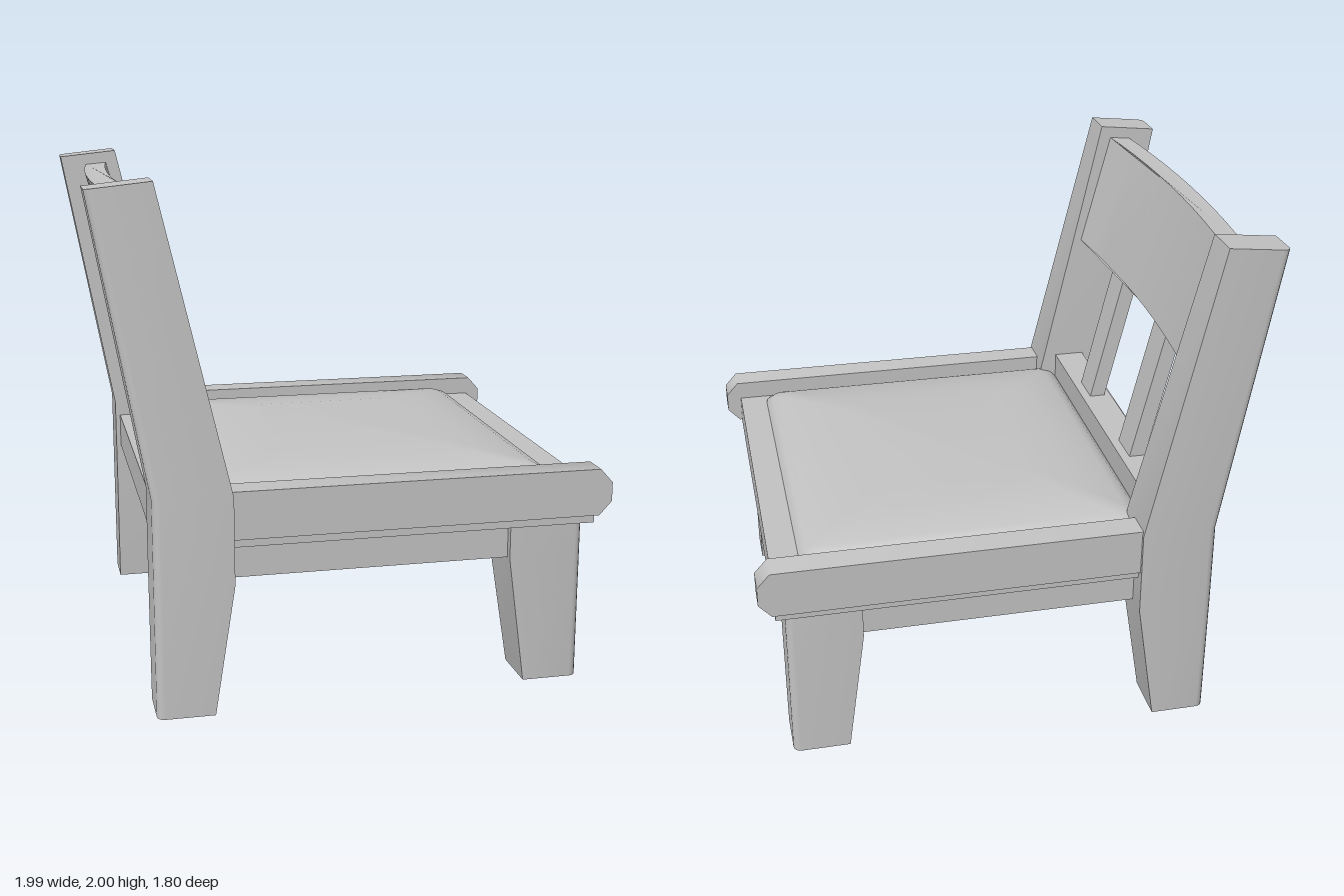
import * as THREE from 'three';
import { toCreasedNormals } from 'three/addons/utils/BufferGeometryUtils.js';

// Closed solid through rings (counter-clockwise from above); side -1 mirrors it in z
function loft(rings, side = 1) {
  const rows = side > 0 ? rings : rings.map(r => r.map(([x, y, z]) => [x, y, -z]).reverse());
  const n = rows[0].length, index = [];
  for (let i = 0; i < rows.length - 1; i++) {
    for (let j = 0; j < n; j++) {
      const a = i * n + j, b = i * n + (j + 1) % n;
      index.push(a, b, b + n, a, b + n, a + n);
    }
  }
  const top = (rows.length - 1) * n;
  for (let j = 1; j < n - 1; j++) {
    index.push(0, j + 1, j, top, top + j, top + j + 1);
  }
  const geo = new THREE.BufferGeometry();
  geo.setAttribute('position', new THREE.Float32BufferAttribute(rows.flat(2), 3));
  geo.setIndex(index);
  return toCreasedNormals(geo, 0.6);
}

// Rectangle ring; radii are for corners (x0,z0), (x0,z1), (x1,z1), (x1,z0)
function ring(y, x0, x1, z0, z1, radii = [0, 0, 0, 0], yFront = y) {
  const corners = [[x0, z0, 1, 1], [x0, z1, 1, -1], [x1, z1, -1, -1], [x1, z0, -1, 1]];
  const points = [];
  corners.forEach(([x, z, sx, sz], k) => {
    const r = radii[k], steps = r ? 4 : 0;
    for (let i = 0; i <= steps; i++) {
      const t = i * Math.PI / 8;
      const along = r * (1 - Math.sin(t)), across = r * (1 - Math.cos(t));
      const [dx, dz] = k % 2 ? [across, along] : [along, across];
      const px = x + sx * dx;
      points.push([px, y + (yFront - y) * (px - x0) / (x1 - x0), z + sz * dz]);
    }
  });
  return points;
}

export function createModel() {
  const chair = new THREE.Group();
  chair.name = 'chair';
  const grey = new THREE.MeshStandardMaterial({ color: 0xc4c4c4 });
  grey.name = 'plain grey';

  const add = (name, geo) => {
    const mesh = new THREE.Mesh(geo, grey);
    mesh.name = name;
    chair.add(mesh);
    return mesh;
  };
  const box = (name, x0, x1, y0, y1, z0, z1) =>
    add(name, new THREE.BoxGeometry(x1 - x0, y1 - y0, z1 - z0))
      .position.set((x0 + x1) / 2, (y0 + y1) / 2, (z0 + z1) / 2);

  // Side rail outline with a softened front end
  const railShape = new THREE.Shape([
    [-0.52, 0.68], [0.945, 0.68], [0.995, 0.735], [0.995, 0.81], [0.945, 0.866], [-0.52, 0.866],
  ].map(p => new THREE.Vector2(...p)));
  const railGeometry = toCreasedNormals(
    new THREE.ExtrudeGeometry(railShape, { depth: 0.112, bevelEnabled: false }), 1);

  for (const side of [1, -1]) {
    const label = side > 0 ? 'left' : 'right';

    // Rear leg running up into the leaning back post
    const backEdge = [0, 0.03, 0, 0];
    add(label + 'BackPost', loft([
      ring(0, -0.79, -0.57, 0.7, 0.9, backEdge),
      ring(0.51, -0.79, -0.49, 0.68, 0.9, backEdge),
      ring(0.85, -0.79, -0.49, 0.68, 0.895, backEdge),
      ring(1.975, -0.995, -0.755, 0.715, 0.87, backEdge, 2),
    ], side));

    // Tapered front leg with a rounded outer edge
    const frontEdge = [0, 0, 0.03, 0];
    add(label + 'FrontLeg', loft([
      ring(0, 0.67, 0.895, 0.635, 0.84, frontEdge),
      ring(0.51, 0.6, 0.895, 0.59, 0.84, frontEdge),
      ring(0.65, 0.6, 0.895, 0.59, 0.84, frontEdge),
    ], side));

    add(label + 'SideRail', railGeometry).position.z = side > 0 ? 0.77 : -0.882;

    const [z0, z1] = side > 0 ? [0.73, 0.81] : [-0.81, -0.73];
    box(label + 'SideApron', -0.6, 0.65, 0.51, 0.65, z0, z1);

    // Back slat leaning with the posts
    add(label + 'Slat', loft([
      ring(0.88, -0.655, -0.59, 0.215, 0.365),
      ring(1.52, -0.805, -0.74, 0.215, 0.365),
    ], side));
  }

  box('frontApron', 0.77, 0.85, 0.51, 0.65, -0.65, 0.65);
  box('backApron', -0.72, -0.64, 0.51, 0.65, -0.72, 0.72);
  box('backRail', -0.69, -0.56, 0.78, 0.91, -0.7, 0.7);

  // Seat frame: four boards around the opening
  box('seatFrameFront', 0.75, 0.933, 0.645, 0.79, -0.86, 0.86);
  box('seatFrameBack', -0.77, -0.49, 0.645, 0.79, -0.7, 0.7);
  box('seatFrameLeft', -0.49, 0.75, 0.645, 0.79, 0.66, 0.86);
  box('seatFrameRight', -0.49, 0.75, 0.645, 0.79, -0.86, -0.66);

  // Crowned seat pad resting on the frame
  const pad = (y, inset) =>
    ring(y, -0.565 + inset, 0.82 - inset, -0.755 + inset, 0.755 - inset, [0.05, 0.05, 0.05, 0.05]);
  add('seatPad', loft([
    pad(0.785, 0), pad(0.8, 0.005), pad(0.825, 0.03),
    pad(0.843, 0.07), pad(0.862, 0.22), pad(0.877, 0.36),
  ]));

  // Curved, leaning backrest board with its ends square to the lean
  const curve = (yFront, yBack, front, halfWidth) => {
    const back = [], face = [];
    for (let i = 0; i <= 10; i++) {
      const t = i / 5 - 1, x = front - 0.04 * (1 - t * t);
      back.push([x - 0.088, yBack, t * halfWidth]);
      face.unshift([x, yFront, t * halfWidth]);
    }
    return [...back, ...face];
  };
  add('backrest', loft([curve(1.475, 1.462, -0.67, 0.71), curve(1.948, 1.94, -0.795, 0.73)]));

  return chair;
}
